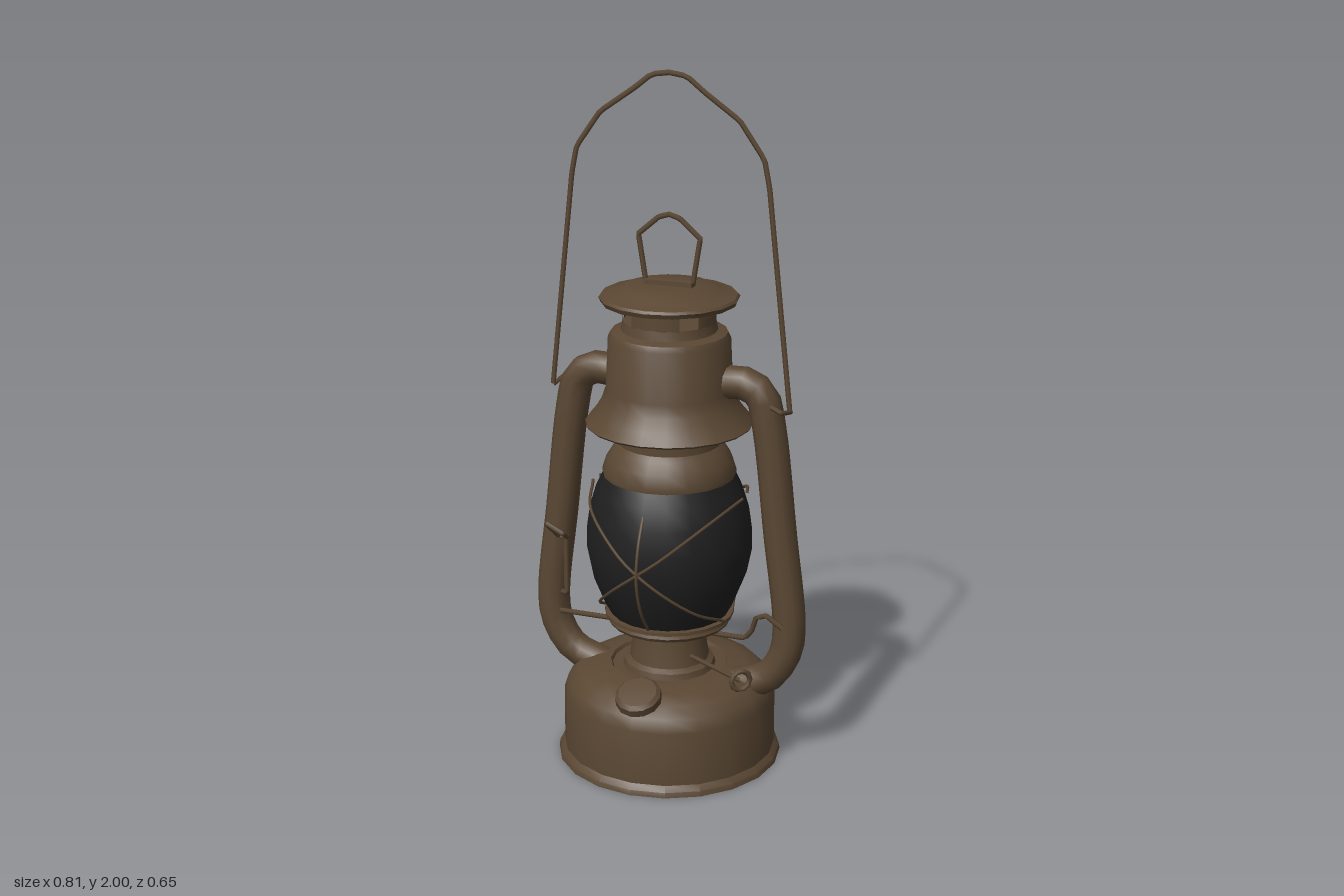
import * as THREE from 'three';
import { toCreasedNormals } from 'three/addons/utils/BufferGeometryUtils.js';

export function createModel() {
  const model = new THREE.Group();
  model.name = 'lantern';
  const metal = new THREE.MeshStandardMaterial({ color: 0x5a4733 });
  metal.name = 'aged brown metal';
  const glass = new THREE.MeshStandardMaterial({ color: 0x1f1f1f });
  glass.name = 'smoked glass';

  const add = (name, geometry, material = metal) => {
    const mesh = new THREE.Mesh(geometry, material);
    mesh.name = name;
    model.add(mesh);
    return mesh;
  };
  // Turned part; profile pairs are [radius, height], listed upwards on the outside
  const turned = (name, profile, material, sides = 20) => {
    const g = new THREE.LatheGeometry(profile.map(p => new THREE.Vector2(...p)), sides);
    return add(name, toCreasedNormals(g, 0.6), material);
  };
  // Smooth bent pipe
  const pipe = (name, pts, radius, steps = 28, sides = 10) => {
    const curve = new THREE.CatmullRomCurve3(pts.map(p => new THREE.Vector3(...p)));
    return add(name, new THREE.TubeGeometry(curve, steps, radius, sides));
  };
  // Wire with straight runs between its points
  const wire = (name, pts, radius, closed = false) => {
    const path = new THREE.CurvePath();
    const v = pts.map(p => new THREE.Vector3(...p));
    if (closed) v.push(v[0].clone());
    for (let i = 1; i < v.length; i++) path.add(new THREE.LineCurve3(v[i - 1], v[i]));
    return add(name, new THREE.TubeGeometry(path, v.length * 8, radius, 5));
  };

  // Fuel tank with raised centre and burner cone
  turned('fuelTank', [[0, 0], [0.325, 0], [0.322, 0.015], [0.308, 0.03], [0.307, 0.19],
    [0.295, 0.228], [0.265, 0.257], [0.22, 0.274], [0.17, 0.282], [0.165, 0.272], [0, 0.272]]);
  turned('burnerCone', [[0.135, 0.27], [0.13, 0.29], [0.115, 0.3], [0.1, 0.395], [0.1, 0.41]], metal, 16);
  turned('globePlate', [[0, 0.4], [0.12, 0.4], [0.172, 0.41], [0.178, 0.42], [0.174, 0.43],
    [0.186, 0.434], [0.186, 0.444], [0, 0.446]]);

  // Glass globe
  turned('globe', [[0.168, 0.44], [0.19, 0.48], [0.222, 0.56], [0.236, 0.63], [0.236, 0.69],
    [0.226, 0.76], [0.208, 0.82], [0.184, 0.87]], glass);

  // Chimney collar, hood and inner deck
  turned('globeCollar', [[0, 0.856], [0.188, 0.856], [0.19, 0.872], [0.178, 0.91],
    [0.158, 0.942], [0.146, 0.955], [0.146, 1.05]]);
  turned('hood', [[0.146, 1.04], [0.232, 1.008], [0.237, 1.014], [0.212, 1.045], [0.19, 1.08], [0.178, 1.115],
    [0.171, 1.26], [0.163, 1.276], [0.135, 1.283], [0.13, 1.31], [0, 1.31]]);

  // Vent walls leave four diagonal openings under the cap
  for (let i = 0; i < 4; i++) {
    const wall = new THREE.CylinderGeometry(0.13, 0.13, 0.075, 4, 1, true, i * Math.PI / 2 - 0.57, 1.14);
    add('ventWall', wall);
    const inner = new THREE.CylinderGeometry(0.126, 0.126, 0.075, 4, 1, true, i * Math.PI / 2 - 0.57, 1.14);
    inner.index.array.reverse();
    inner.computeVertexNormals();
    for (const g of [wall, inner]) g.translate(0, 1.335, 0);
    add('ventWallInside', inner);
  }
  turned('cap', [[0, 1.368], [0.14, 1.368], [0.19, 1.362], [0.196, 1.375], [0.19, 1.382],
    [0.145, 1.392], [0.125, 1.404], [0.06, 1.408], [0, 1.408]], metal, 16);

  // Lifting ring on the cap
  wire('capRing', [[-0.07, 1.42, 0], [-0.09, 1.545, 0], [-0.03, 1.597, 0], [0, 1.606, 0],
    [0.03, 1.597, 0], [0.09, 1.545, 0], [0.07, 1.42, 0]], 0.008);
  add('ringClip', new THREE.BoxGeometry(0.14, 0.018, 0.03)).position.set(0, 1.412, 0);

  // Air tubes on both sides, with bail pins
  for (const s of [-1, 1]) {
    pipe('airTube', [[0.14, 1.14, 0], [0.22, 1.148, 0], [0.27, 1.118, 0], [0.293, 1.03, 0], [0.33, 0.72, 0],
      [0.362, 0.43, 0], [0.35, 0.35, 0], [0.3, 0.275, 0], [0.2, 0.235, 0]].map(([x, y, z]) => [s * x, y, z]), 0.047);
    wire('bailPin', [[s * 0.3, 1.1, s * 0.03], [s * 0.345, 1.09, s * 0.05], [s * 0.355, 1.08, 0]], 0.007);
  }

  // Carrying bail
  const half = [[0.352, 1.085, 0], [0.285, 1.7, 0], [0.27, 1.775, 0], [0.2, 1.875, 0],
    [0.1, 1.945, 0], [0.05, 1.985, 0], [0, 1.992, 0]];
  const bail = wire('bail', [...half.map(([x, y, z]) => [-x, y, z]), ...half.slice(0, -1).reverse()], 0.008);
  bail.scale.z = 0.75;

  // Crossed guard wires at the front and back of the globe
  for (const f of [-1, 1]) {
    for (const s of [-1, 1]) {
      pipe('guardWire', [[s * 0.225, 0.815, f * 0.02], [s * 0.17, 0.78, f * 0.17], [s * 0.06, 0.69, f * 0.25],
        [0, 0.645, f * 0.262], [s * -0.07, 0.59, f * 0.248], [s * -0.14, 0.52, f * 0.185],
        [s * -0.18, 0.44, f * 0.03]], 0.0045, 24, 5);
    }
    // Bowed outer guard
    pipe('outerGuard', [[0, 0.44, f * 0.17], [0, 0.53, f * 0.235], [0, 0.63, f * 0.265],
      [0, 0.72, f * 0.25], [0, 0.8, f * 0.21]], 0.0045, 16, 5);
  }

  // Globe lift rod and lever
  wire('liftRod', [[-0.33, 0.398, 0.03], [0.24, 0.398, 0.03], [0.265, 0.43, 0.04], [0.28, 0.475, 0.05],
    [0.31, 0.488, 0.055], [0.36, 0.455, 0.055]], 0.008);
  wire('lever', [[-0.315, 0.465, 0.045], [-0.295, 0.47, 0.06], [-0.295, 0.64, 0.06]], 0.008);
  wire('leverLoop', [[-0.295, 0.64, 0.05], [-0.29, 0.67, 0.1], [-0.34, 0.695, 0.1], [-0.32, 0.64, 0.05]], 0.008, true);

  // Wick rod with ring knob
  wire('wickRod', [[0.07, 0.33, 0.05], [0.27, 0.325, 0.155]], 0.007);
  const knob = add('wickKnob', new THREE.TorusGeometry(0.028, 0.008, 6, 10));
  knob.position.set(0.27, 0.325, 0.155);
  knob.rotation.y = 0.7;

  // Tilted filler neck and cap
  const filler = turned('fillerCap', [[0, -0.05], [0.045, -0.05], [0.05, 0], [0.066, 0.005],
    [0.066, 0.028], [0.055, 0.038], [0, 0.042]], metal, 12);
  filler.position.set(0, 0.257, 0.245);
  filler.rotation.x = 0.4;

  return model;
}
